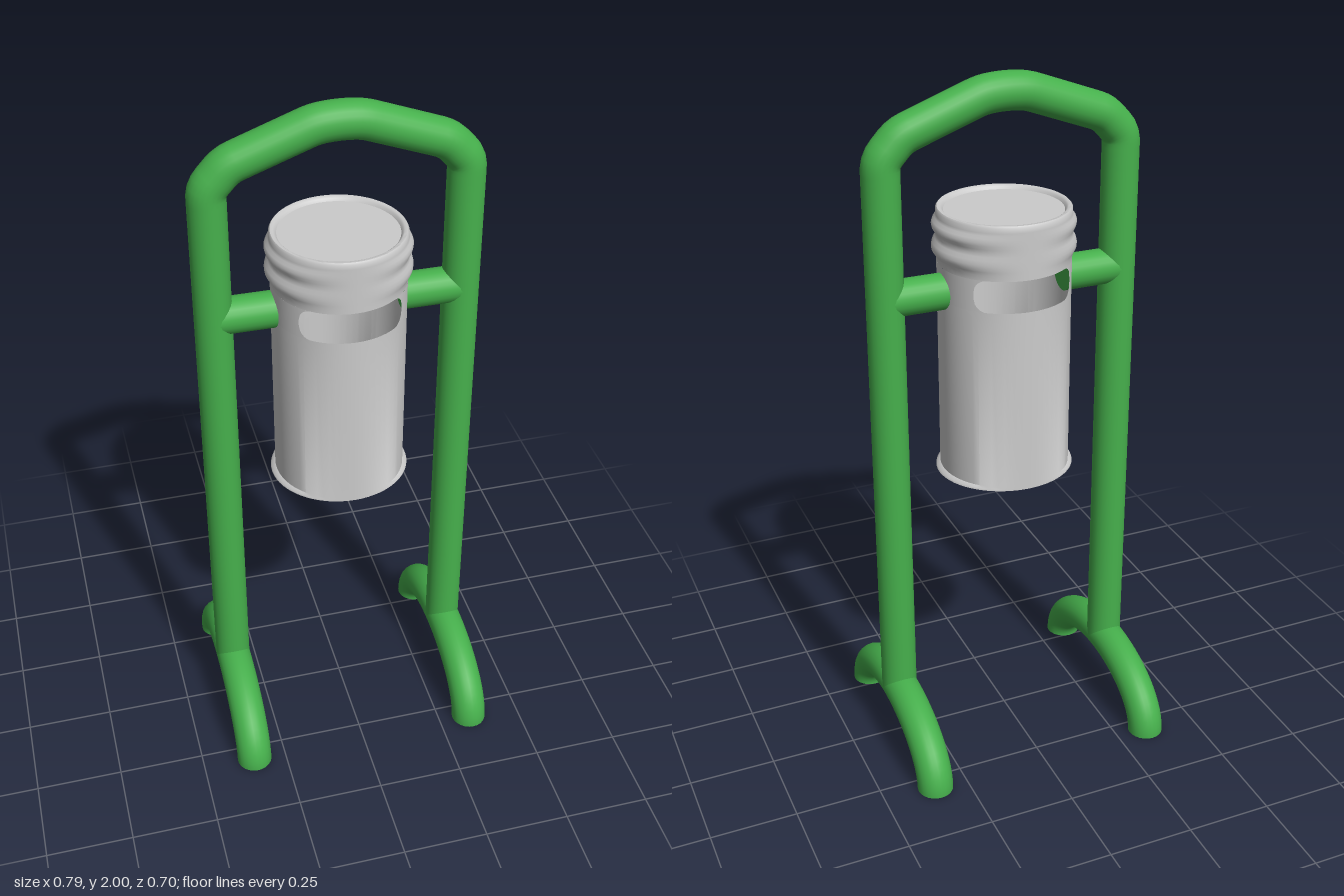
import * as THREE from 'three';
import { mergeGeometries, toCreasedNormals } from 'three/addons/utils/BufferGeometryUtils.js';

const TUBE = 0.052, POLE_X = 0.345, CAN = 0.185;
const green = new THREE.MeshStandardMaterial({ color: 0x46b04c });
const grey = new THREE.MeshStandardMaterial({ color: 0xcccccc, side: THREE.DoubleSide });

function add(group, name, geometry, material) {
  const mesh = new THREE.Mesh(geometry, material);
  mesh.name = name;
  group.add(mesh);
  return mesh;
}

// Polyline whose inner corners are replaced by short curves
function roundedPath(points, cut) {
  const path = new THREE.CurvePath();
  let from = points[0];
  for (let i = 1; i < points.length - 1; i++) {
    const p = points[i];
    const toward = (q) => p.clone().add(q.clone().sub(p).setLength(cut));
    const a = toward(points[i - 1]), b = toward(points[i + 1]);
    path.add(new THREE.LineCurve3(from, a));
    path.add(new THREE.QuadraticBezierCurve3(a, p, b));
    from = b;
  }
  path.add(new THREE.LineCurve3(from, points[points.length - 1]));
  return path;
}

// Half-ellipse standing on the ground in the yz plane
class FootCurve extends THREE.Curve {
  getPoint(t, target = new THREE.Vector3()) {
    const a = Math.PI * t;
    return target.set(0, 0.168 * Math.sin(a), 0.297 * Math.cos(a));
  }
}

// Lathe whose beads swell sideways only, keeping the depth constant
function canLathe(profile) {
  const geo = new THREE.LatheGeometry(profile.map(([r, y]) => new THREE.Vector2(r, y)), 64);
  const pos = geo.attributes.position;
  for (let i = 0; i < pos.count; i++) {
    const r = Math.hypot(pos.getX(i), pos.getZ(i));
    if (r > CAN) pos.setZ(i, pos.getZ(i) * CAN / r);
  }
  return toCreasedNormals(geo, 0.75);
}

// Patch of the can wall between two angles, with heights given by angle
function wallPatch(a0, a1, segments, low, high) {
  const geo = new THREE.PlaneGeometry(1, 1, segments, 1);
  const { position: pos, normal, uv } = geo.attributes;
  for (let i = 0; i < pos.count; i++) {
    const a = THREE.MathUtils.lerp(a0, a1, uv.getX(i));
    const y = THREE.MathUtils.lerp(low(a), high(a), uv.getY(i));
    pos.setXYZ(i, CAN * Math.sin(a), y, CAN * Math.cos(a));
    normal.setXYZ(i, Math.sin(a), 0, Math.cos(a));
  }
  return geo;
}

// Ring of wall holding a rounded slot at the front and at the back
function slotBand(y0, y1) {
  const half = 0.858, corner = 0.038, mid = (y0 + y1) / 2, hh = (y1 - y0) / 2;
  const span = corner / CAN;
  const parts = [];
  for (const centre of [0, Math.PI]) {
    const open = (a) => {
      const d = Math.min(corner, Math.max(0, (half - Math.abs(a - centre)) * CAN));
      return hh - corner + Math.sqrt(corner * corner - (corner - d) ** 2);
    };
    parts.push(wallPatch(centre + half, centre + Math.PI - half, 24, () => y0, () => y1));
    for (const start of [centre - half, centre + half - span]) {
      parts.push(wallPatch(start, start + span, 10, () => y0, (a) => mid - open(a)));
      parts.push(wallPatch(start, start + span, 10, (a) => mid + open(a), () => y1));
    }
  }
  return mergeGeometries(parts);
}

export function createModel() {
  const model = new THREE.Group();
  model.name = 'litterBinStand';

  // Bent tube frame: two poles joined by a peaked arch
  const side = [[POLE_X, 0.17], [POLE_X, 1.8], [0.29, 1.86], [0.06, 1.944]];
  const points = [
    ...side.map(([x, y]) => new THREE.Vector3(-x, y, 0)),
    new THREE.Vector3(0, 1.948, 0),
    ...side.slice().reverse().map(([x, y]) => new THREE.Vector3(x, y, 0)),
  ];
  add(model, 'frame', new THREE.TubeGeometry(roundedPath(points, 0.025), 260, TUBE, 24), green);

  // Arched feet with flat ends, and arms holding the can
  for (const s of [1, -1]) {
    const label = s > 0 ? 'left' : 'right';
    const foot = new THREE.Group();
    foot.name = label + 'Foot';
    foot.position.x = s * POLE_X;
    add(foot, 'footArch', new THREE.TubeGeometry(new FootCurve(), 40, TUBE, 24), green);
    for (const z of [0.297, -0.297]) {
      const cap = add(foot, 'footEnd', new THREE.CircleGeometry(TUBE, 24), green);
      cap.rotation.x = Math.PI / 2;
      cap.position.z = z;
    }
    model.add(foot);

    const arm = add(model, label + 'Arm', new THREE.CylinderGeometry(0.051, 0.051, 0.17, 24), green);
    arm.rotation.z = Math.PI / 2;
    arm.position.set(s * 0.26, 1.42, 0);
  }

  // Hollow can: closed body, slotted band, beaded lid
  const can = new THREE.Group();
  can.name = 'can';
  add(can, 'body', canLathe([[0, 0.865], [0.199, 0.865], [0.197, 0.87], [CAN, 0.876], [CAN, 1.4]]), grey);
  add(can, 'slotBand', slotBand(1.4, 1.49), grey);
  add(can, 'lid', canLathe([
    [CAN, 1.49], [0.186, 1.505], [0.192, 1.515], [0.199, 1.525], [0.2, 1.535], [0.197, 1.547],
    [0.19, 1.557], [0.187, 1.566], [0.19, 1.577], [0.197, 1.587], [0.199, 1.597], [0.195, 1.607],
    [0.188, 1.615], [CAN, 1.622], [CAN, 1.636], [0.181, 1.641], [0.173, 1.641], [0.168, 1.637],
    [0.164, 1.63], [0, 1.63],
  ]), grey);
  model.add(can);

  return model;
}
